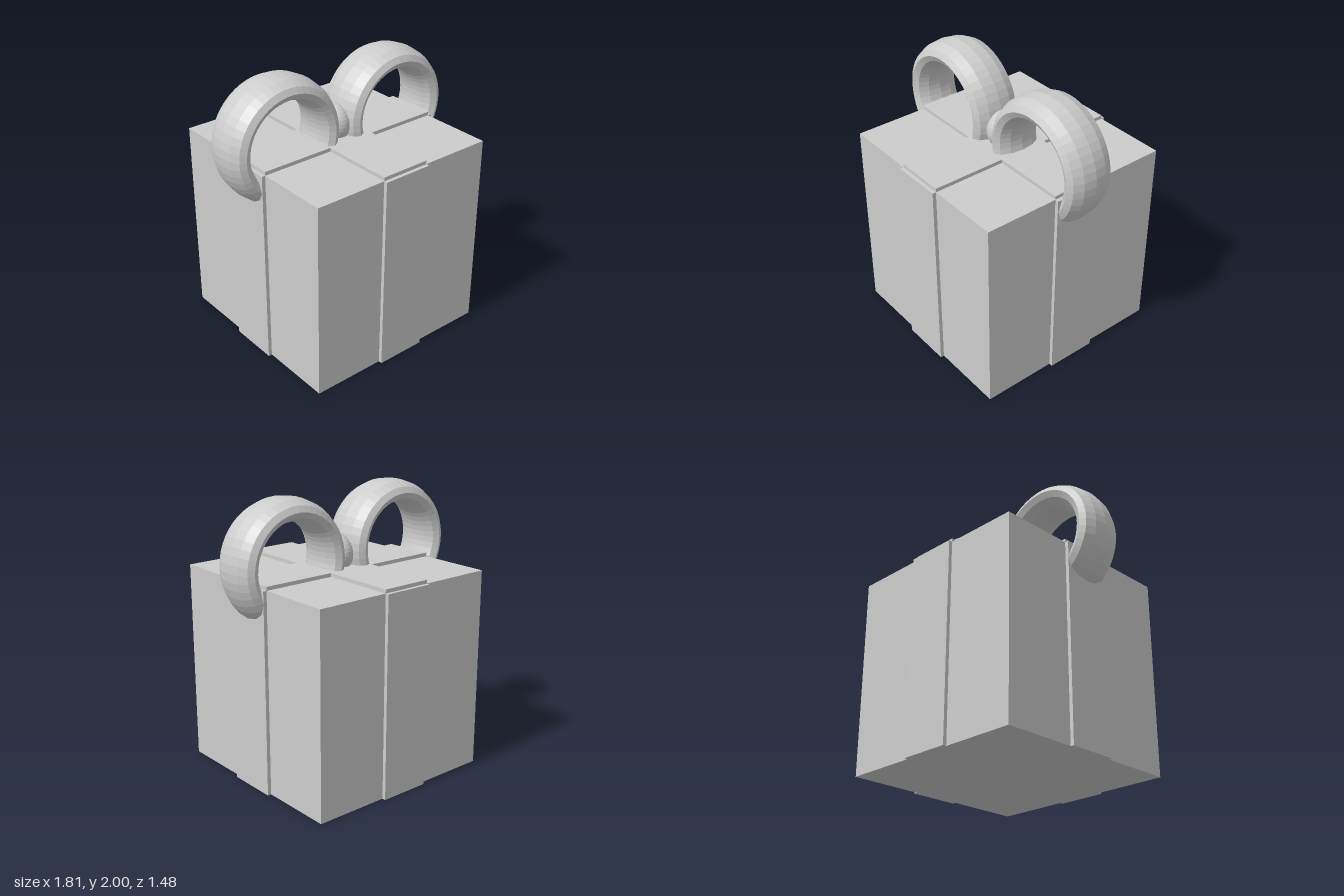
import * as THREE from 'three';

export function createModel() {
  const group = new THREE.Group();
  group.name = 'giftBox';
  const grey = new THREE.MeshStandardMaterial({ color: 0xcccccc, flatShading: true });
  grey.name = 'light grey';

  const add = (name, geometry, x, y, z) => {
    const mesh = new THREE.Mesh(geometry, grey);
    mesh.name = name;
    mesh.position.set(x, y, z);
    group.add(mesh);
    return mesh;
  };

  // Box body, standing on the ground
  const size = 1.432, cx = 0.02, band = 0.365, thick = 0.026;
  add('box', new THREE.BoxGeometry(size, size, size), cx, size / 2, 0);

  // Ribbon strips down the four sides
  const off = size / 2 + thick / 2;
  for (const s of [1, -1]) {
    add(s > 0 ? 'frontRibbon' : 'backRibbon',
      new THREE.BoxGeometry(band, size, thick), cx, size / 2, s * off);
    add(s > 0 ? 'leftRibbon' : 'rightRibbon',
      new THREE.BoxGeometry(thick, size, band), cx + s * off, size / 2, 0);
  }

  // Ribbon cross on the lid, one outline so the strips share a flat top
  const h = size / 2, b = band / 2;
  const cross = new THREE.Shape([
    [-b, -h], [b, -h], [b, -b], [h, -b], [h, b], [b, b],
    [b, h], [-b, h], [-b, b], [-h, b], [-h, -b], [-b, -b],
  ].map(([x, y]) => new THREE.Vector2(x, y)));
  const crossGeometry = new THREE.ExtrudeGeometry(cross, { depth: thick, bevelEnabled: false });
  crossGeometry.rotateX(-Math.PI / 2);
  add('topRibbon', crossGeometry, cx, size, 0);

  // Bow loops: rings stretched along z into wide bands
  const loop = new THREE.TorusGeometry(0.36, 0.083, 12, 48);
  loop.scale(1, 1, 0.18 / 0.083);
  add('rightBowLoop', loop, -0.465, 1.557, -0.003);
  add('leftBowLoop', loop, 0.462, 1.538, -0.003);

  // Knot between the loops
  const knot = new THREE.SphereGeometry(0.14, 32, 16);
  knot.scale(0.8, 1, 1);
  add('bowKnot', knot, 0.012, 1.535, -0.003);

  return group;
}
